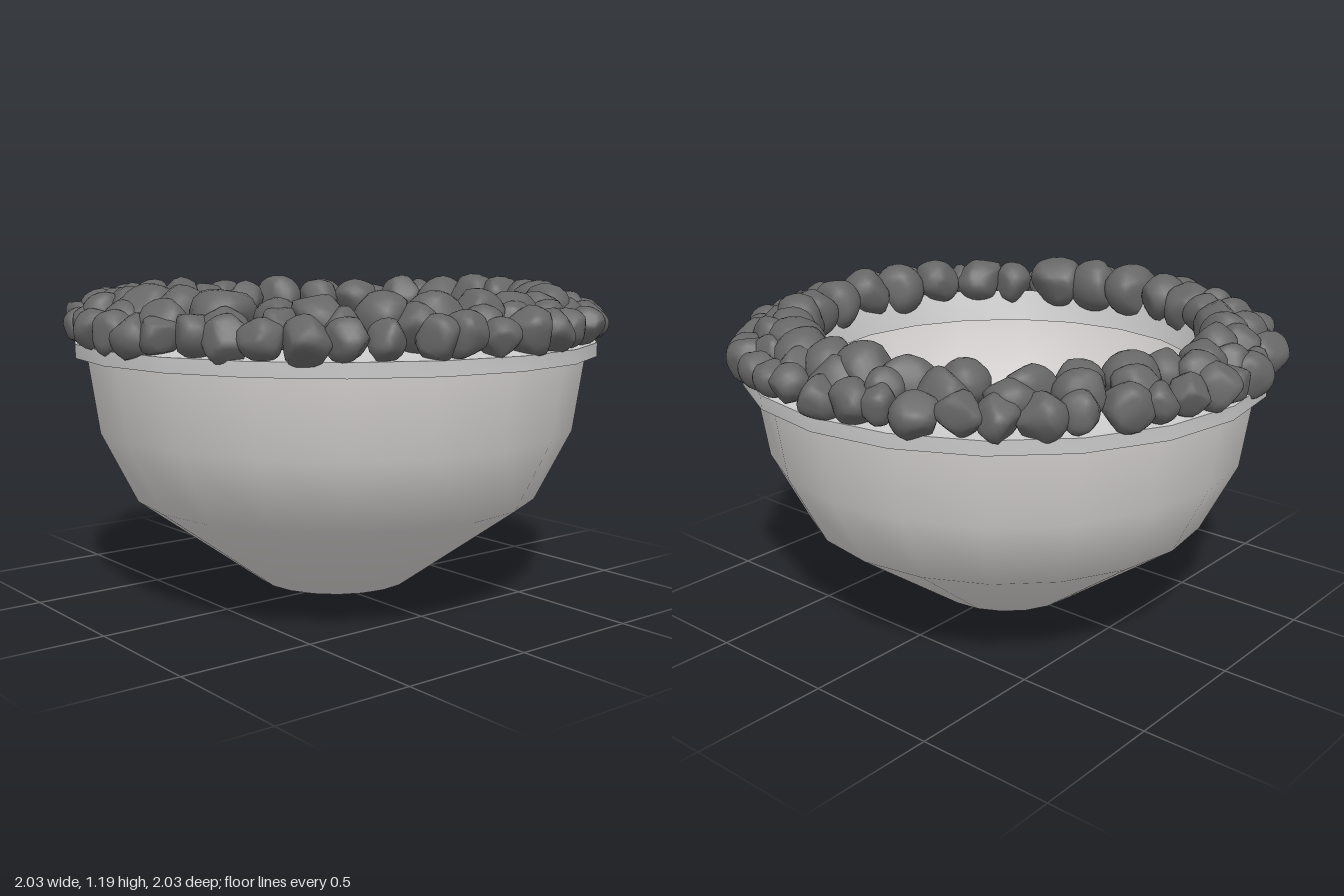
import * as THREE from 'three';
import { mergeVertices, toCreasedNormals } from 'three/addons/utils/BufferGeometryUtils.js';

// Small seeded generator for the irregular stones
function seeded(seed) {
  return () => {
    seed = (seed * 1664525 + 1013904223) % 4294967296;
    return seed / 4294967296;
  };
}

const SIDES = 20;
const profile = (pts) => pts.map(([r, y]) => new THREE.Vector2(r, y));

// Pebble: a unit ball cut by random soft planes, leaving blunt ridges
function pebbleGeometry(rand) {
  const ball = new THREE.IcosahedronGeometry(1.06, 3);
  ball.deleteAttribute('uv');
  ball.deleteAttribute('normal');
  const geo = mergeVertices(ball);
  const cuts = [];
  for (let i = 0; i < 10; i++) {
    const dir = new THREE.Vector3(rand() - 0.5, rand() - 0.5, rand() - 0.5).normalize();
    cuts.push({ dir, depth: 0.7 + rand() * 0.18 });
  }
  const pos = geo.attributes.position;
  const v = new THREE.Vector3();
  for (let i = 0; i < pos.count; i++) {
    v.fromBufferAttribute(pos, i);
    for (const { dir, depth } of cuts) {
      const over = v.dot(dir) - depth;
      if (over > 0) v.addScaledVector(dir, -over * 0.8);
    }
    pos.setXYZ(i, v.x, v.y, v.z);
  }
  geo.computeVertexNormals();
  return geo;
}

export function createModel() {
  const group = new THREE.Group();
  const rand = seeded(41);
  const bowlMat = new THREE.MeshStandardMaterial({ color: 0xdad7d6, side: THREE.DoubleSide });
  bowlMat.name = 'bowl grey';
  const rimMat = new THREE.MeshStandardMaterial({ color: 0xc8c8c8 });
  rimMat.name = 'rim grey';
  const stoneMat = new THREE.MeshStandardMaterial({ color: 0x666666 });
  stoneMat.name = 'stone grey';

  const add = (name, geo, mat) => {
    const mesh = new THREE.Mesh(geo, mat);
    mesh.name = name;
    group.add(mesh);
  };

  // Bowl: one thin smooth shell
  add('bowl', new THREE.LatheGeometry(profile([
    [0, 0], [0.29, 0.05], [0.76, 0.39], [0.89, 0.65], [0.93, 0.93],
  ]), SIDES), bowlMat);

  // Rim: closed ring with a lip outside, rising towards the opening
  add('rim', toCreasedNormals(new THREE.LatheGeometry(profile([
    [0.73, 0.92], [0.97, 0.92], [0.97, 0.97], [0.9, 0.98], [0.77, 1.04], [0.73, 0.92],
  ]), SIDES), 0.6), rimMat);

  // Stones in three uneven rings
  const shapes = Array.from({ length: 10 }, () => pebbleGeometry(rand));
  const rings = [
    { name: 'outerStone', count: 46, radius: 0.928, y: 1.032, size: 0.07 },
    { name: 'middleStone', count: 26, radius: 0.862, y: 1.065, size: 0.07 },
    { name: 'innerStone', count: 29, radius: 0.79, y: 1.075, size: 0.09 },
  ];
  for (const ring of rings) {
    const stones = new THREE.Group();
    stones.name = ring.name + 's';
    for (let i = 0; i < ring.count; i++) {
      const stone = new THREE.Mesh(shapes[Math.floor(rand() * shapes.length)], stoneMat);
      stone.name = ring.name;
      const angle = ((i + (rand() - 0.5) * 0.3) / ring.count) * Math.PI * 2;
      const r = ring.radius + (rand() - 0.5) * 0.02;
      stone.position.set(Math.sin(angle) * r, ring.y + (rand() - 0.5) * 0.025, Math.cos(angle) * r);
      const s = ring.size * (0.92 + rand() * 0.25);
      stone.scale.set(s * (0.95 + rand() * 0.25), s, s * (0.95 + rand() * 0.2));
      stone.rotation.set((rand() - 0.5) * 0.8, rand() * Math.PI * 2, (rand() - 0.5) * 0.8);
      stones.add(stone);
    }
    group.add(stones);
  }
  return group;
}
